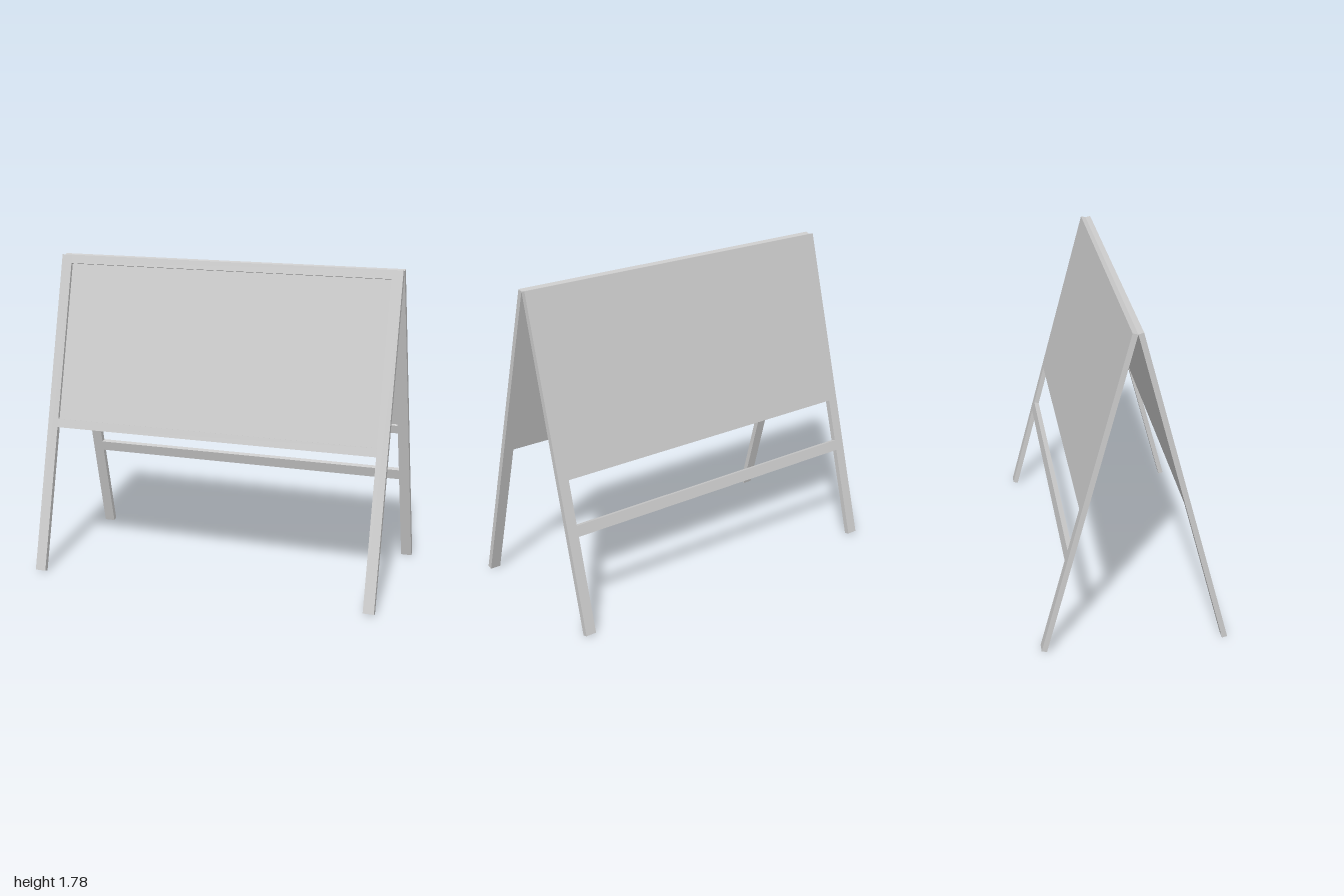
import * as THREE from 'three';

const LENGTH = 1.832;      // leg length along the slope
const THICK = 0.029;       // frame thickness
const PANEL = 0.011;       // panel thickness
const LEG = 0.061;         // leg width
const TILT = Math.atan2(0.472, 1.77);
const INNER = 2 - 2 * LEG; // clear width between the legs

const material = new THREE.MeshStandardMaterial({ color: 0xcccccc, flatShading: true });

// Board spanning s0..s1 up the slope, with its rear face at z0
function board(name, width, x, s0, s1, z0, depth) {
  const mesh = new THREE.Mesh(new THREE.BoxGeometry(width, s1 - s0, depth), material);
  mesh.name = name;
  mesh.position.set(x, (s0 + s1) / 2 - LENGTH, z0 + depth / 2);
  return mesh;
}

// One leaf of the stand, hung from the top hinge line; the panel is flush with its rear
function leaf(name, z0) {
  const group = new THREE.Group();
  group.name = name;
  for (const [side, sx] of [['left', 1], ['right', -1]]) {
    group.add(board(side + 'Leg', LEG, sx * (1 - LEG / 2), 0, LENGTH, z0, THICK));
  }
  group.add(
    board('topRail', INNER, 0, 1.783, LENGTH, z0, THICK),
    board('bottomRail', INNER, 0, 0.833, 0.882, z0, THICK),
    board('panel', INNER, 0, 0.882, 1.783, z0, PANEL)
  );
  group.position.y = LENGTH * Math.cos(TILT);
  return group;
}

export function createModel() {
  const model = new THREE.Group();
  model.name = 'foldingBoardStand';

  const front = leaf('frontLeaf', 0);
  front.rotation.x = -TILT;

  // The rear leaf has an extra brace between its legs
  const back = leaf('backLeaf', -THICK);
  back.add(board('brace', INNER, 0, 0.527, 0.587, -THICK, THICK));
  back.rotation.x = TILT;

  model.add(front, back);
  return model;
}
